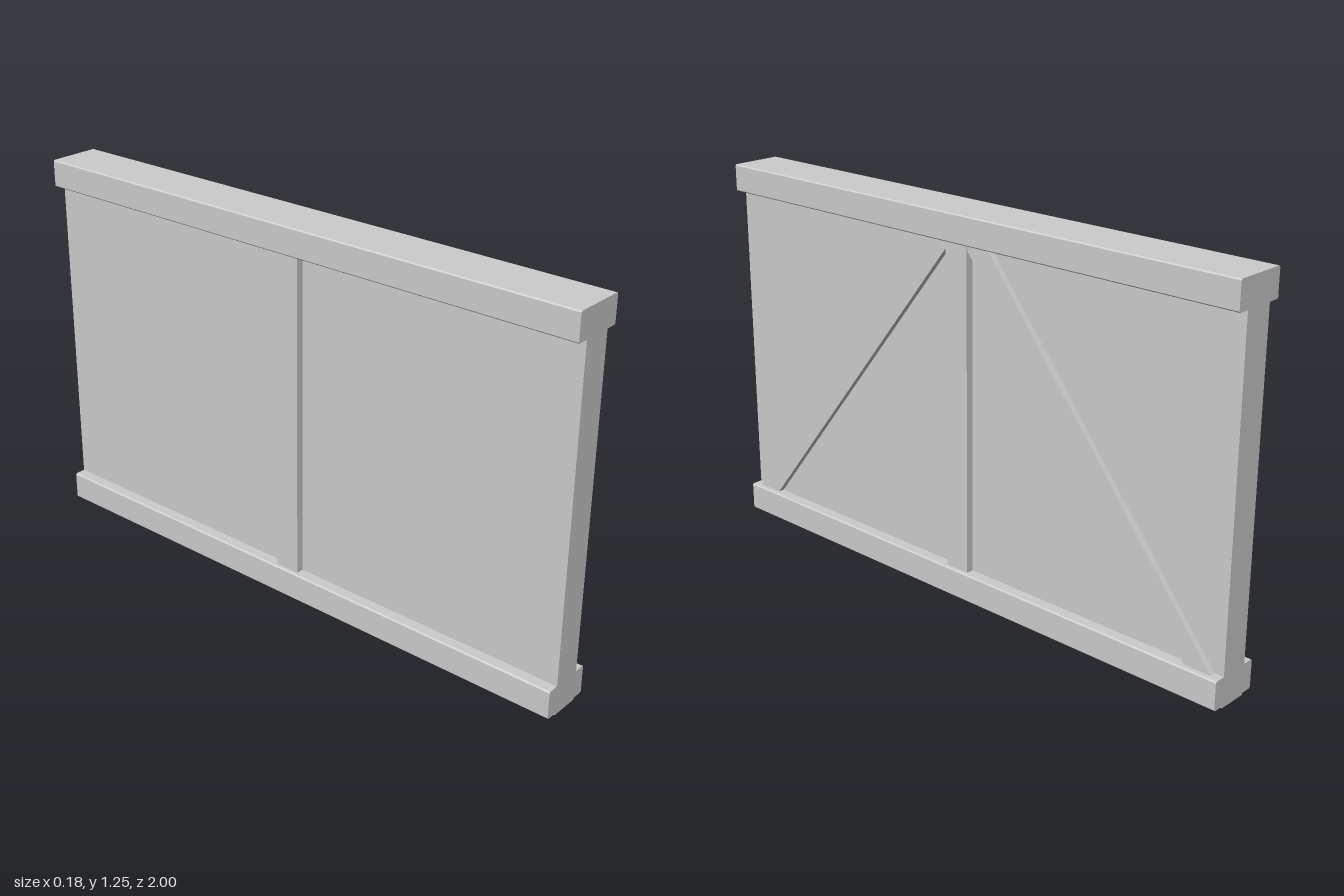
import * as THREE from 'three';

const LENGTH = 2;
const material = new THREE.MeshStandardMaterial({ color: 0xcccccc, flatShading: true });

function addMesh(parent, name, geometry) {
  const mesh = new THREE.Mesh(geometry, material);
  mesh.name = name;
  parent.add(mesh);
  return mesh;
}

// Box given by its limits on each axis
function boxBetween(x0, x1, y0, y1, z0, z1) {
  const geometry = new THREE.BoxGeometry(x1 - x0, y1 - y0, z1 - z0);
  return geometry.translate((x0 + x1) / 2, (y0 + y1) / 2, (z0 + z1) / 2);
}

// Long rail with slightly chamfered edges, running along z
function railGeometry(halfWidth, y0, y1, c = 0.004) {
  const w = halfWidth;
  const profile = new THREE.Shape([
    [-w + c, y0], [w - c, y0], [w, y0 + c], [w, y1 - c],
    [w - c, y1], [-w + c, y1], [-w, y1 - c], [-w, y0 + c],
  ].map(([x, y]) => new THREE.Vector2(x, y)));
  const geometry = new THREE.ExtrudeGeometry(profile, { depth: LENGTH, bevelEnabled: false });
  return geometry.translate(0, 0, -LENGTH / 2);
}

// Diagonal brace: outline in the plane of the wall, given thickness along x
function braceGeometry(side) {
  const outline = new THREE.Shape([
    [0.978, 0.09], [0.885, 0.09], [0.04, 1.147], [0.04, 1.17], [0.115, 1.17],
  ].map(([z, y]) => new THREE.Vector2(side * z, y)));
  const geometry = new THREE.ExtrudeGeometry(outline, { depth: 0.03, bevelEnabled: false });
  return geometry.rotateY(Math.PI / 2).translate(0.04, 0, 0);
}

export function createModel() {
  const model = new THREE.Group();
  model.name = 'bracedWallPanel';

  // Flat wall between the rails
  addMesh(model, 'wallPanel', boxBetween(-0.05, 0.05, 0, 1.25, -1, 1));

  // Top and bottom rails
  addMesh(model, 'bottomRail', railGeometry(0.088, 0.006, 0.1));
  addMesh(model, 'topRail', railGeometry(0.088, 1.164, 1.254));

  // Central post, showing on both faces
  addMesh(model, 'centralPost', boxBetween(-0.075, 0.075, 0.09, 1.17, -0.043, 0.043));

  // Pair of diagonal braces on the left face only
  const braces = new THREE.Group();
  braces.name = 'diagonalBraces';
  addMesh(braces, 'frontBrace', braceGeometry(-1));
  addMesh(braces, 'backBrace', braceGeometry(1));
  model.add(braces);

  return model;
}
